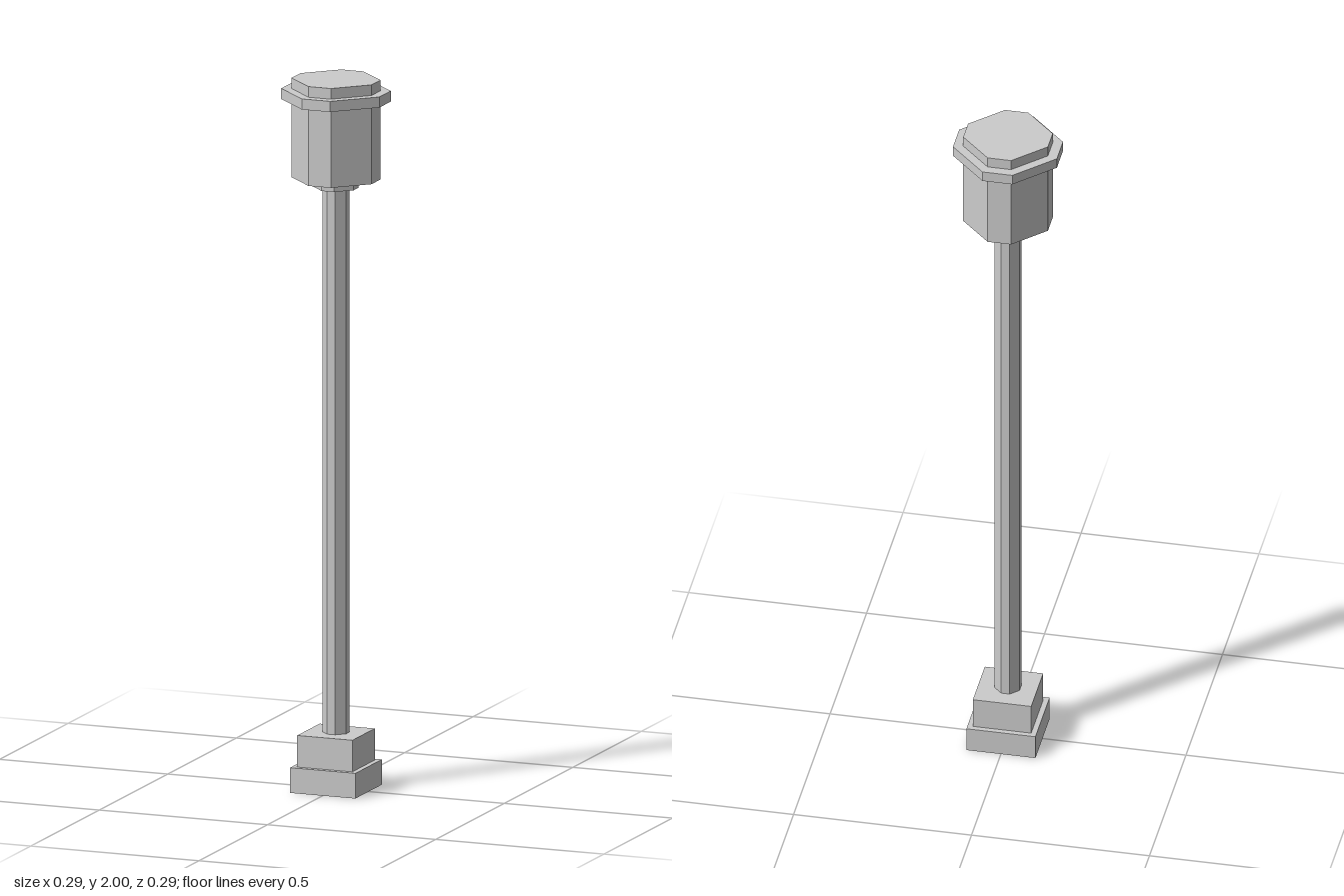
import * as THREE from 'three';

const material = new THREE.MeshStandardMaterial({ color: 0xcccccc, flatShading: true });

// Upright prism: a square of half-width r whose straight sides have half-length f
function octagonPrism(name, r, f, y0, y1) {
  const shape = new THREE.Shape([
    [r, -f], [r, f], [f, r], [-f, r], [-r, f], [-r, -f], [-f, -r], [f, -r],
  ].map(([x, y]) => new THREE.Vector2(x, y)));
  const geometry = new THREE.ExtrudeGeometry(shape, { depth: y1 - y0, bevelEnabled: false });
  geometry.rotateX(-Math.PI / 2).translate(0, y0, 0);
  const mesh = new THREE.Mesh(geometry, material);
  mesh.name = name;
  return mesh;
}

function squareBlock(name, r, y0, y1) {
  const mesh = new THREE.Mesh(new THREE.BoxGeometry(2 * r, y1 - y0, 2 * r), material);
  mesh.position.y = (y0 + y1) / 2;
  mesh.name = name;
  return mesh;
}

export function createModel() {
  const group = new THREE.Group();
  group.name = 'lampPost';
  group.add(
    // Stepped square footing
    squareBlock('basePlinth', 0.097, 0, 0.071),
    squareBlock('baseBlock', 0.082, 0.071, 0.16),
    // Slender post
    octagonPrism('pole', 0.035, 0.012, 0.16, 1.695),
    // Lamp head, from the bottom up
    octagonPrism('collar', 0.06, 0.018, 1.695, 1.72),
    octagonPrism('lampBody', 0.119, 0.033, 1.72, 1.94),
    octagonPrism('brim', 0.146, 0.042, 1.94, 1.97),
    octagonPrism('cap', 0.119, 0.033, 1.97, 2),
  );
  return group;
}
